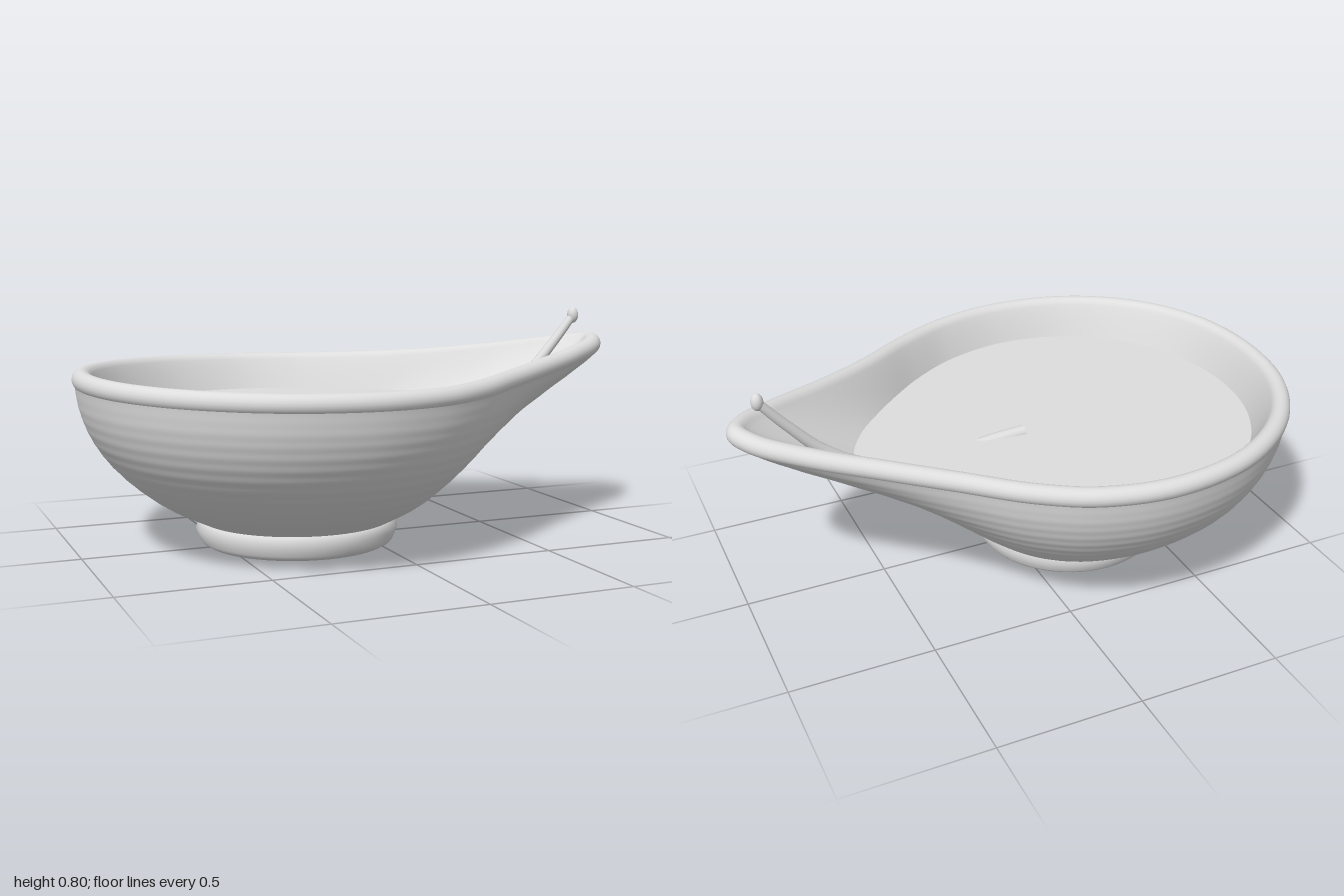
import * as THREE from 'three';

const SEG = 128, FOOT_X = -0.235, FILL_Y = 0.47, ROLL = 0.034;
const clay = new THREE.MeshStandardMaterial({ name: 'pale grey clay', color: 0xdddddd });

// Closed outline in plan from half of its points (tip first, back last), mirrored in z
function outline(half) {
  const mirrored = half.slice(1, -1).reverse().map(([x, z]) => [x, -z]);
  const curve = new THREE.CatmullRomCurve3(
    [...half, ...mirrored].map(([x, z]) => new THREE.Vector3(x, 0, z)), true, 'centripetal');
  return Array.from({ length: SEG }, (_, i) => ({
    p: curve.getPoint(i / SEG), t: curve.getTangent(i / SEG),
  }));
}

// Skin over closed rings of equal point count
function loft(rings) {
  const pos = [], index = [];
  for (const ring of rings) for (const v of ring) pos.push(v.x, v.y, v.z);
  for (let j = 0; j < rings.length - 1; j++) {
    for (let i = 0; i < SEG; i++) {
      const a = j * SEG + i, b = j * SEG + (i + 1) % SEG, c = a + SEG, d = b + SEG;
      index.push(a, c, b, b, c, d);
    }
  }
  const geo = new THREE.BufferGeometry();
  geo.setAttribute('position', new THREE.Float32BufferAttribute(pos, 3));
  geo.setIndex(index);
  geo.computeVertexNormals();
  return geo;
}

const rim = outline([[1, 0], [0.95, 0.1], [0.8, 0.215], [0.6, 0.337], [0.4, 0.468], [0.2, 0.612],
  [0, 0.714], [-0.25, 0.76], [-0.55, 0.705], [-0.8, 0.535], [-0.95, 0.295], [-1, 0]]);
const fill = outline([[0.577, 0], [0.56, 0.072], [0.49, 0.19], [0.4, 0.288], [0.28, 0.4], [0.15, 0.502],
  [-0.02, 0.595], [-0.25, 0.645], [-0.5, 0.6], [-0.71, 0.453], [-0.84, 0.237], [-0.88, 0]]);

// Rim height rises toward the spout
const rimTop = (x) => 0.605 + 0.1 * Math.max(0, x) ** 1.8 + 0.015 * Math.max(0, -x) ** 2;

// Point moved inward from the rim outline and down from its crest
function inset({ p, t }, d, drop) {
  return new THREE.Vector3(p.x - t.z * d, rimTop(p.x) - drop, p.z + t.x * d);
}

export function createModel() {
  const group = new THREE.Group();
  const add = (name, geo) => {
    const mesh = new THREE.Mesh(geo, clay);
    mesh.name = name;
    group.add(mesh);
    return mesh;
  };

  // Outer bowl: round profile at the back, sloping profile under the spout
  const profile = (pts) => new THREE.SplineCurve(pts.map(([x, y]) => new THREE.Vector2(x, y)));
  const round = profile([[0, 0], [0.3, 0.13], [0.54, 0.28], [0.74, 0.45], [0.88, 0.63], [0.965, 0.82], [1, 1]]);
  const spout = profile([[0, 0], [0.16, 0.18], [0.34, 0.39], [0.565, 0.61], [0.8, 0.805], [0.94, 0.935], [1, 1]]);
  const rings = [];
  const STEPS = 72;
  for (let j = 0; j <= STEPS; j++) {
    const t = j / STEPS, r = round.getPoint(t), s = spout.getPoint(t);
    rings.push(rim.map((o) => {
      const angle = Math.atan2(o.p.z, o.p.x - FOOT_X);
      const w = Math.max(0, Math.cos(angle)) ** 5;
      const f = THREE.MathUtils.lerp(r.x, s.x, w), h = THREE.MathUtils.lerp(r.y, s.y, w);
      const top = inset(o, 0.009, 0.056);
      const base = new THREE.Vector3(FOOT_X + 0.34 * Math.cos(angle), 0.085, 0.34 * Math.sin(angle));
      const v = base.clone().lerp(top, f);
      v.y = THREE.MathUtils.lerp(base.y, top.y, h);
      // Faint throwing ridges
      const ripple = 0.0008 * Math.sin(h * Math.PI * 24) * Math.sin(Math.PI * t);
      v.x += ripple * Math.cos(angle);
      v.z += ripple * Math.sin(angle);
      return v;
    }));
  }
  add('bowl', loft(rings));

  // Rolled rim, flowing into the inner wall that ends just under the filling
  const rimRings = [];
  for (let j = 0; j <= 14; j++) {
    const a = THREE.MathUtils.degToRad(-110 + (j / 14) * 255);
    rimRings.push(rim.map((o) => inset(o, ROLL * (1 - Math.cos(a)), ROLL * (1 - Math.sin(a)))));
  }
  for (let j = 1; j <= 10; j++) {
    const t = j / 10;
    rimRings.push(rim.map((o, i) => new THREE.QuadraticBezierCurve3(
      inset(o, 0.062, 0.0145), inset(o, 0.08, 0.045), fill[i].p.clone().setY(FILL_Y - 0.004)).getPoint(t)));
  }
  add('rimAndInnerWall', loft(rimRings));

  // Flat filling
  add('filling', loft([
    fill.map((o) => o.p.clone().setY(FILL_Y)),
    fill.map(() => new THREE.Vector3(FOOT_X, FILL_Y, 0)),
  ]));

  // Foot ring; doubled points keep the bottom edge crisp
  const foot = new THREE.LatheGeometry([[0, 0], [0.322, 0], [0.322, 0], [0.336, 0.008], [0.343, 0.018],
    [0.357, 0.054], [0.347, 0.08], [0.338, 0.09], [0.3, 0.095]].map(([x, y]) => new THREE.Vector2(x, y)), 64);
  add('foot', foot).position.x = FOOT_X;

  // Wick: dips under the filling, then climbs the spout and tapers
  const path = new THREE.CatmullRomCurve3([[-0.035, 0.466, -0.042], [0.06, 0.457, -0.037], [0.16, 0.442, -0.03],
    [0.36, 0.41, -0.01], [0.54, 0.452, 0], [0.68, 0.54, 0], [0.8, 0.664, 0], [0.89, 0.77, 0]]
    .map((p) => new THREE.Vector3(...p)));
  const wick = new THREE.TubeGeometry(path, 64, 0.026, 12);
  const pos = wick.attributes.position, v = new THREE.Vector3();
  for (let i = 0; i < pos.count; i++) {
    const u = Math.floor(i / 13) / 64, c = path.getPointAt(u);
    v.fromBufferAttribute(pos, i).sub(c).multiplyScalar(1 - 0.4 * Math.max(0, u - 0.5) * 2).add(c);
    pos.setXYZ(i, v.x, v.y, v.z);
  }
  add('wick', wick);

  // Wick end cap and bead
  const end = add('wickEnd', new THREE.CircleGeometry(0.026, 12));
  end.position.copy(path.getPoint(0));
  end.lookAt(end.position.clone().sub(path.getTangent(0)));
  const bead = add('wickTip', new THREE.SphereGeometry(0.021, 20, 14));
  bead.position.set(0.89, 0.772, 0);
  bead.scale.y = 1.45;

  return group;
}
